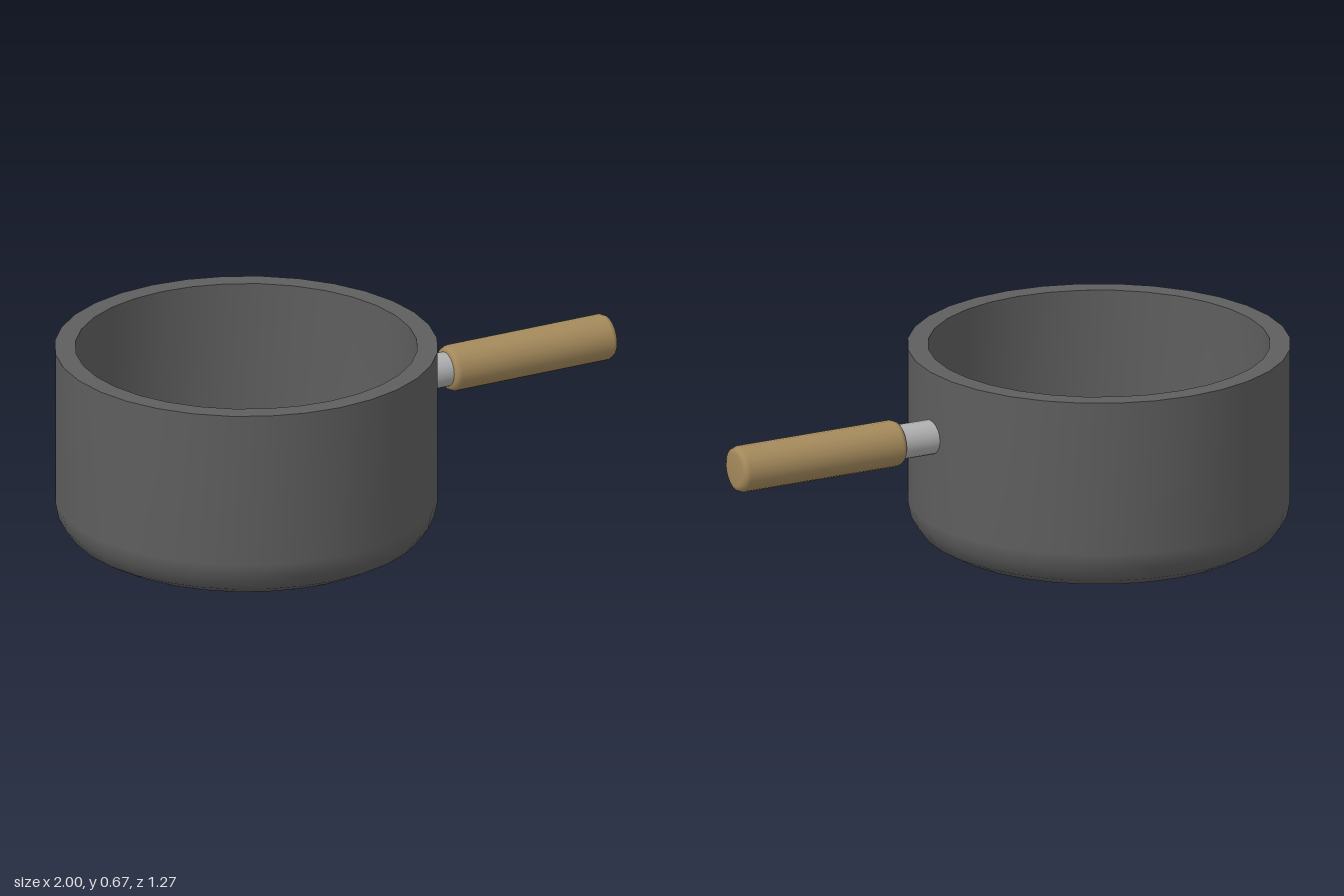
import * as THREE from 'three';

const material = (name, color) => new THREE.MeshStandardMaterial({ name, color });

export function createModel() {
  const iron = material('dark iron', 0x5e5e5e);
  const steel = material('steel', 0xb0b0b0);
  const wood = material('wood', 0xa58a5c);

  const model = new THREE.Group();
  model.name = 'saucepan';
  const potX = -0.367, handleY = 0.447;

  const lathe = (name, points, sides, mat) => {
    const profile = points.map(([r, y]) => new THREE.Vector2(r, y));
    const mesh = new THREE.Mesh(new THREE.LatheGeometry(profile, sides), mat);
    mesh.name = name;
    model.add(mesh);
    return mesh;
  };

  // Pot: outer wall, flat rim, inner wall; repeated points keep the rim edges sharp
  const pot = lathe('pot', [
    [0, 0], [0.47, 0], [0.535, 0.012], [0.588, 0.042], [0.622, 0.09], [0.633, 0.145],
    [0.633, 0.672], [0.633, 0.672], [0.565, 0.672], [0.565, 0.672],
    [0.565, 0.19], [0.553, 0.14], [0.522, 0.1], [0.475, 0.075], [0.42, 0.067], [0, 0.067],
  ], 32, iron);
  pot.position.x = potX;

  // Turns an upright lathe to run along +x
  const layAlongX = (mesh, x) => {
    mesh.rotation.z = -Math.PI / 2;
    mesh.position.set(x, handleY, 0);
  };

  // Steel shank joining the wall to the grip
  layAlongX(lathe('shank', [[0.058, 0], [0.058, 0.2]], 20, steel), 0.22);

  // Wooden grip with softened ends
  const length = 0.615, radius = 0.078, bevel = 0.022;
  layAlongX(lathe('grip', [
    [0, 0], [radius - bevel, 0], [radius - bevel * 0.3, bevel * 0.3], [radius, bevel],
    [radius, length - bevel], [radius - bevel * 0.3, length - bevel * 0.3],
    [radius - bevel, length], [0, length],
  ], 20, wood), 1 - length);

  return model;
}
